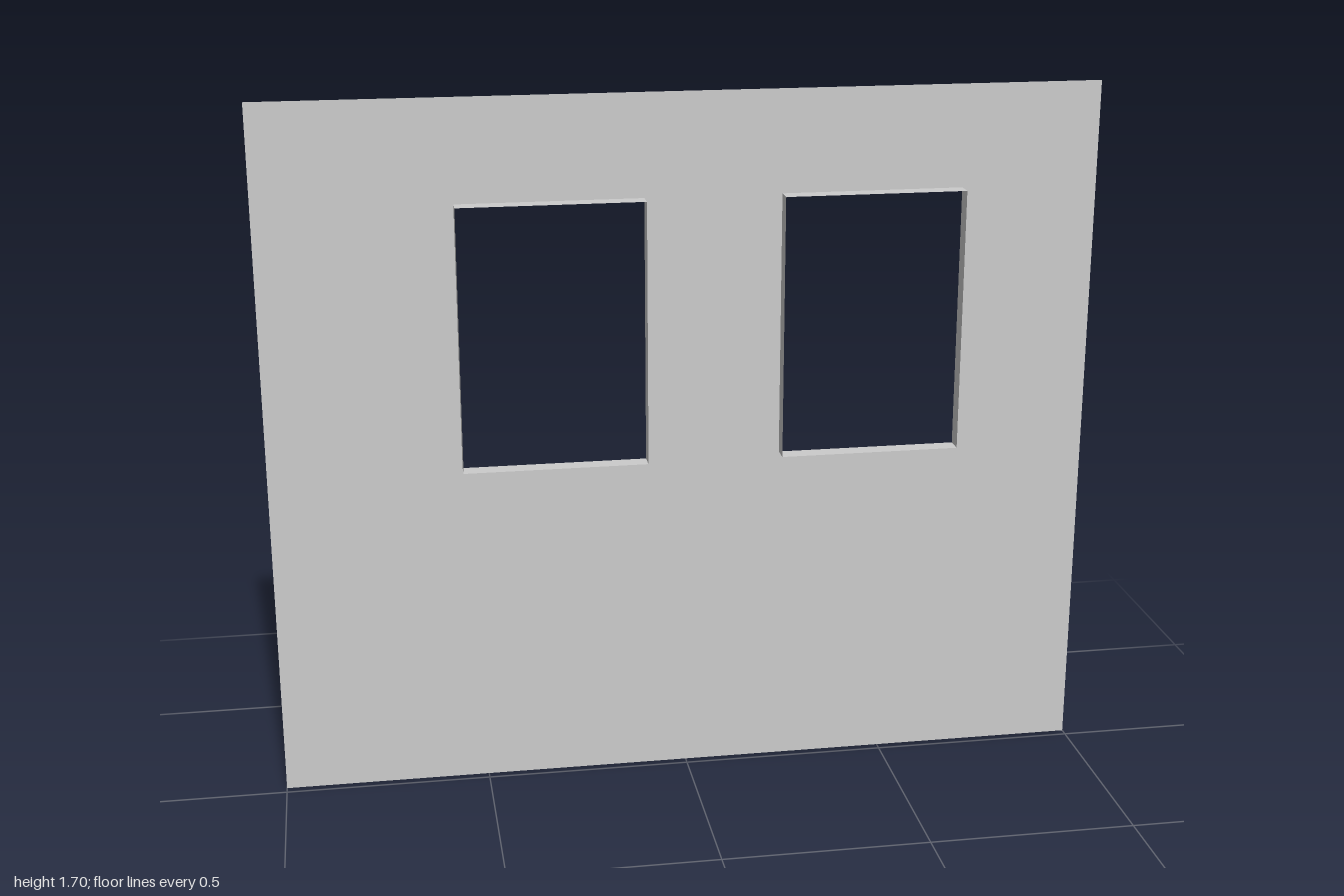
import * as THREE from 'three';

const HEIGHT = 1.7, DEPTH = 0.043, SILL = 0.813, HEAD = 1.453;
const WINDOWS = [
  { name: 'rightWindow', x0: -0.54, x1: -0.097 },
  { name: 'leftWindow', x0: 0.231, x1: 0.668 },
];

// Rectangular outline, shared by the wall and its openings
function rectangle(Type, x0, x1, y0, y1) {
  const path = new Type();
  path.moveTo(x0, y0);
  path.lineTo(x1, y0);
  path.lineTo(x1, y1);
  path.lineTo(x0, y1);
  path.closePath();
  return path;
}

export function createModel() {
  const model = new THREE.Group();
  model.name = 'windowWall';
  const material = new THREE.MeshStandardMaterial({ color: 0xcccccc, side: THREE.DoubleSide });

  // Thin wall sheet at the back with two window openings
  const outline = rectangle(THREE.Shape, -1, 1, 0, HEIGHT);
  for (const { x0, x1 } of WINDOWS) outline.holes.push(rectangle(THREE.Path, x0, x1, SILL, HEAD));
  const wall = new THREE.Mesh(new THREE.ShapeGeometry(outline), material);
  wall.name = 'wall';
  wall.position.z = -DEPTH / 2;
  model.add(wall);

  // Thin reveals projecting forward around each opening
  for (const { name, x0, x1 } of WINDOWS) {
    const reveal = new THREE.Group();
    reveal.name = name + 'Reveal';
    const width = x1 - x0, height = HEAD - SILL;
    reveal.position.set((x0 + x1) / 2, (SILL + HEAD) / 2, 0);
    for (const side of [-1, 1]) {
      const jamb = new THREE.Mesh(new THREE.PlaneGeometry(DEPTH, height), material);
      jamb.name = side < 0 ? 'rightJamb' : 'leftJamb';
      jamb.rotation.y = -side * Math.PI / 2;
      jamb.position.x = side * width / 2;
      const ledge = new THREE.Mesh(new THREE.PlaneGeometry(width, DEPTH), material);
      ledge.name = side < 0 ? 'sill' : 'head';
      ledge.rotation.x = side * Math.PI / 2;
      ledge.position.y = side * height / 2;
      reveal.add(jamb, ledge);
    }
    model.add(reveal);
  }
  return model;
}
